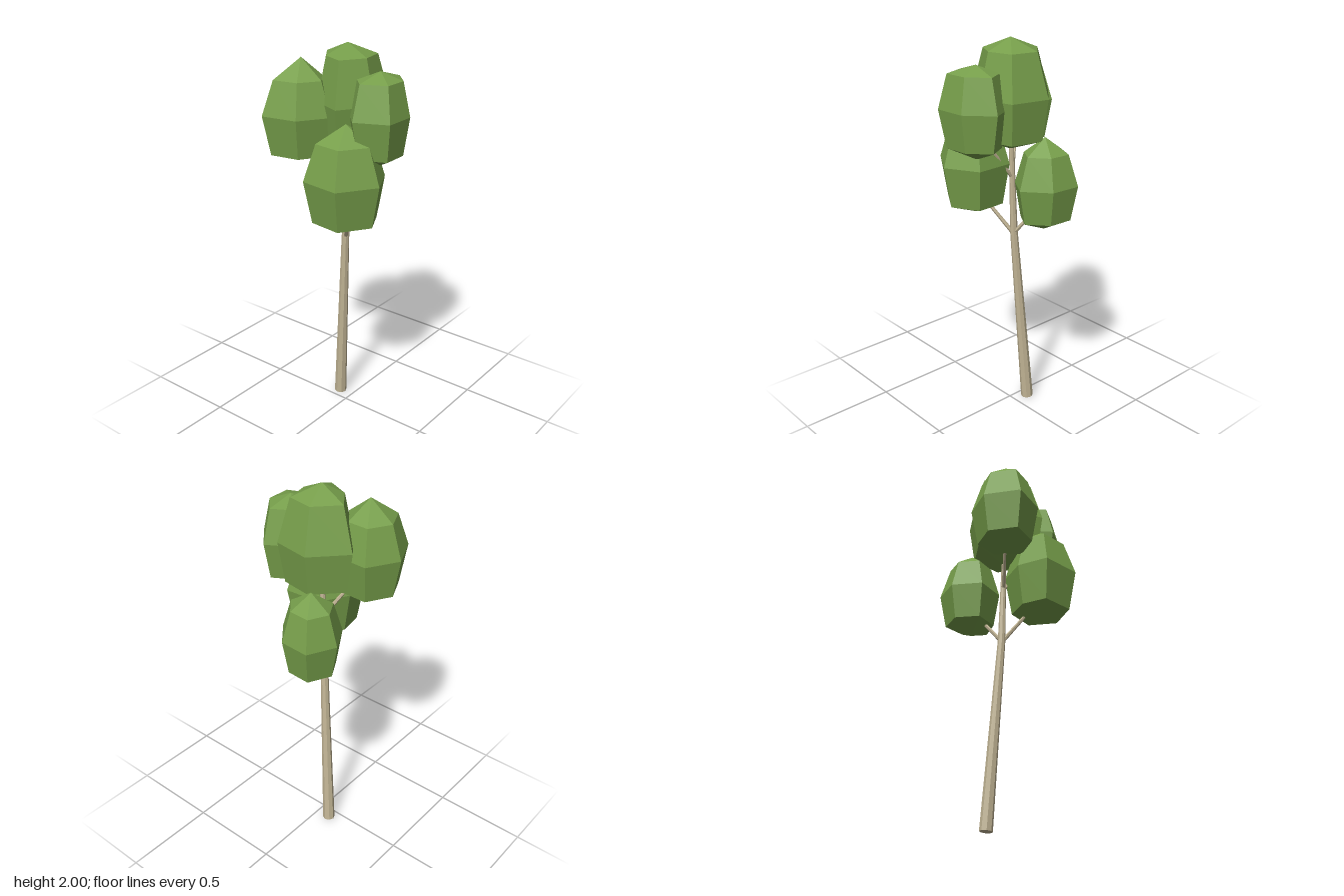
import * as THREE from 'three';

const bark = new THREE.MeshStandardMaterial({ color: 0xc2b595, flatShading: true });
bark.name = 'pale bark';
const leaf = new THREE.MeshStandardMaterial({ color: 0x779f4b, flatShading: true });
leaf.name = 'leaf green';

// tapered limb between two points
function limb(name, from, to, r0, r1, sides) {
  const a = new THREE.Vector3(...from), b = new THREE.Vector3(...to);
  const dir = b.clone().sub(a);
  const mesh = new THREE.Mesh(new THREE.CylinderGeometry(r1, r0, dir.length(), sides), bark);
  mesh.position.copy(a).add(b).multiplyScalar(0.5);
  mesh.quaternion.setFromUnitVectors(new THREE.Vector3(0, 1, 0), dir.normalize());
  mesh.name = name;
  return mesh;
}

// faceted leaf clump: a six-cornered widest ring, scaled rings above and below, two tips
function clump({ name, tip, heights, ring, upper = 0.7, lower = 0.8 }) {
  const scales = [0, upper, 1, lower, 0];
  const rings = scales.map((s, k) => ring.map(([x, z]) => [
    tip[0] + (x - tip[0]) * s, heights[k], tip[1] + (z - tip[1]) * s,
  ]));
  const pos = [];
  for (let k = 0; k < 4; k++) {
    for (let i = 0; i < ring.length; i++) {
      const j = (i + 1) % ring.length;
      const a = rings[k], b = rings[k + 1];
      if (k > 0) pos.push(...a[i], ...a[j], ...b[i]);
      if (k < 3) pos.push(...a[j], ...b[j], ...b[i]);
    }
  }
  const geo = new THREE.BufferGeometry();
  geo.setAttribute('position', new THREE.Float32BufferAttribute(pos, 3));
  geo.computeVertexNormals();
  const mesh = new THREE.Mesh(geo, leaf);
  mesh.name = name;
  return mesh;
}

// heights run from top tip to bottom tip; ring corners are [x, z]
const clumps = [
  { name: 'topClump', tip: [0.005, -0.01], heights: [2, 1.94, 1.72, 1.51, 1.45], lower: 0.85,
    ring: [[0.185, 0.015], [0.085, 0.19], [-0.09, 0.11], [-0.21, -0.05], [-0.06, -0.21], [0.14, -0.175]] },
  { name: 'upperRightClump', tip: [-0.17, 0.13], heights: [1.93, 1.83, 1.66, 1.46, 1.43],
    ring: [[0.01, 0.13], [-0.08, 0.28], [-0.27, 0.31], [-0.353, 0.134], [-0.264, -0.025], [-0.1, -0.02]] },
  { name: 'upperLeftClump', tip: [0.21, 0.005], heights: [1.89, 1.85, 1.68, 1.49, 1.43], upper: 0.75,
    ring: [[0.35, 0.12], [0.185, 0.19], [0.09, 0.09], [0.1, -0.1], [0.23, -0.175], [0.345, -0.05]] },
  { name: 'lowerFrontClump', tip: [0.11, 0.14], heights: [1.65, 1.56, 1.375, 1.16, 1.1],
    ring: [[0.31, 0.14], [0.19, 0.325], [-0.03, 0.295], [-0.06, 0.13], [0.02, -0.02], [0.22, -0.03]] },
  { name: 'lowerBackClump', tip: [-0.07, -0.18], heights: [1.53, 1.45, 1.29, 1.11, 1.05],
    ring: [[0.105, -0.19], [0.02, -0.06], [-0.15, -0.04], [-0.23, -0.18], [-0.16, -0.325], [0, -0.315]] },
];

export function createModel() {
  const tree = new THREE.Group();
  tree.name = 'tree';

  // leaning trunk, straightening towards the crown
  tree.add(limb('trunk', [-0.08, 0, -0.055], [-0.014, 1, -0.016], 0.033, 0.02, 8));
  tree.add(limb('trunkTop', [-0.014, 0.99, -0.016], [0.003, 1.55, -0.012], 0.02, 0.011, 8));

  // branches reaching into the clumps
  const fork = [-0.012, 0.99, -0.015];
  const crownFork = [-0.003, 1.3, -0.014];
  tree.add(limb('lowerFrontBranch', fork, [0.1, 1.2, 0.11], 0.011, 0.008, 6));
  tree.add(limb('lowerBackBranch', fork, [-0.06, 1.16, -0.15], 0.011, 0.008, 6));
  tree.add(limb('upperRightBranch', crownFork, [-0.13, 1.52, 0.1], 0.01, 0.008, 6));
  tree.add(limb('upperLeftBranch', crownFork, [0.17, 1.52, 0], 0.01, 0.008, 6));

  for (const c of clumps) tree.add(clump(c));
  return tree;
}
